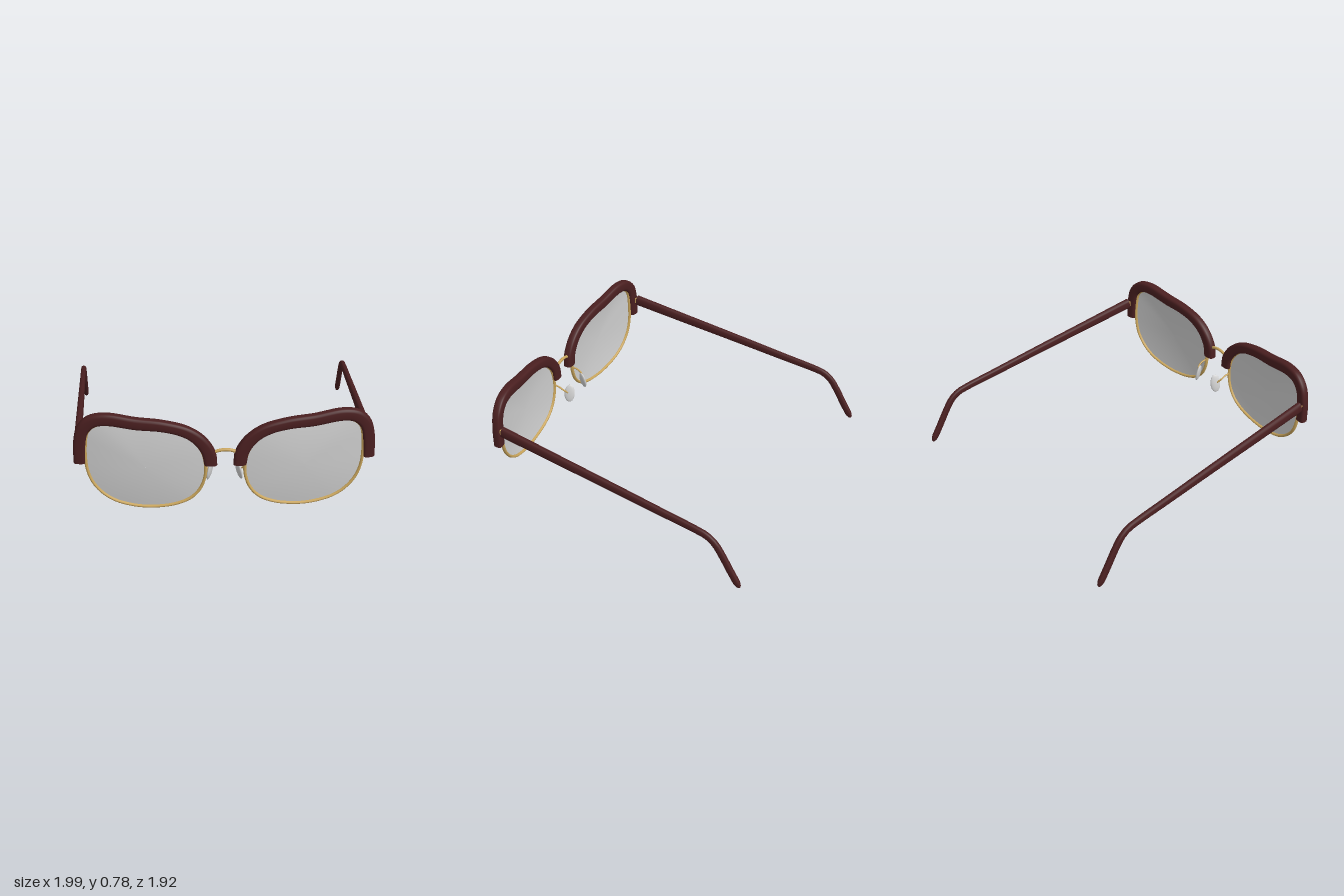
import * as THREE from 'three';

const V2 = (p) => new THREE.Vector3(p[0], p[1], 0);
const curve = (pts, closed = false) => new THREE.CatmullRomCurve3(pts.map(V2), closed, 'centripetal');

// The front wraps gently backwards towards the temples
const frontZ = (x) => 0.93 - 0.085 * x * x;

// Unit rounded cross-section; power 2 is an ellipse, higher is squarer
function section(n, power) {
  const e = 2 / power;
  return Array.from({ length: n }, (_, i) => {
    const a = (i / n) * Math.PI * 2, c = Math.cos(a), s = Math.sin(a);
    return [Math.sign(c) * Math.abs(c) ** e, Math.sign(s) * Math.abs(s) ** e];
  });
}

// Skin a list of rings; open lofts get flat end caps, windings face outward
function loft(rings, { loop = false, caps = !loop } = {}) {
  const n = rings[0].length, m = rings.length, pos = rings.flat(2), idx = [];
  for (let i = 0; i < (loop ? m : m - 1); i++) {
    for (let j = 0; j < n; j++) {
      const a = i * n + j, b = i * n + (j + 1) % n;
      const c = ((i + 1) % m) * n + j, d = ((i + 1) % m) * n + (j + 1) % n;
      idx.push(a, b, d, a, d, c);
    }
  }
  if (caps) {
    [rings[0], rings[m - 1]].forEach((ring, k) => {
      const base = pos.length / 3;
      pos.push(...ring.flat());
      for (let j = 1; j < n - 1; j++) {
        idx.push(base, base + (k ? j : j + 1), base + (k ? j + 1 : j));
      }
    });
  }
  const vert = (i) => new THREE.Vector3().fromArray(pos, i * 3);
  let volume = 0;
  for (let i = 0; i < idx.length; i += 3) {
    volume += vert(idx[i]).dot(vert(idx[i + 1]).cross(vert(idx[i + 2])));
  }
  if (volume < 0) idx.reverse();
  const g = new THREE.BufferGeometry();
  g.setAttribute('position', new THREE.Float32BufferAttribute(pos, 3));
  g.setIndex(idx);
  g.computeVertexNormals();
  return g;
}

export function createModel() {
  const material = (name, color, side = THREE.FrontSide) => {
    const m = new THREE.MeshStandardMaterial({ color, side });
    m.name = name;
    return m;
  };
  const maroon = material('maroon', 0x4a1f20);
  const gold = material('gold', 0xc9a55c);
  const glass = material('lens grey', 0xcdcdcd, THREE.DoubleSide);
  const padGrey = material('pad grey', 0xd2d2d2);

  const model = new THREE.Group();
  model.name = 'glasses';
  const add = (parent, name, geo, mat) => {
    const mesh = new THREE.Mesh(geo, mat);
    mesh.name = name;
    parent.add(mesh);
    return mesh;
  };

  const outline = curve([
    [0.122, 0.42], [0.132, 0.335], [0.165, 0.26], [0.225, 0.2], [0.32, 0.16], [0.42, 0.143],
    [0.5, 0.14], [0.6, 0.152], [0.7, 0.183], [0.78, 0.24], [0.835, 0.315], [0.862, 0.4],
    [0.868, 0.47], [0.866, 0.56], [0.848, 0.66], [0.8, 0.706], [0.73, 0.718], [0.55, 0.697],
    [0.4, 0.687], [0.29, 0.662], [0.205, 0.615], [0.145, 0.535],
  ], true);
  const browInner = curve([
    [0.132, 0.445], [0.15, 0.53], [0.21, 0.61], [0.29, 0.655], [0.4, 0.68], [0.55, 0.69],
    [0.73, 0.713], [0.8, 0.7], [0.845, 0.655], [0.865, 0.56], [0.872, 0.445],
  ]);
  const browOuter = curve([
    [0.05, 0.445], [0.06, 0.53], [0.12, 0.63], [0.22, 0.705], [0.38, 0.75], [0.55, 0.768],
    [0.73, 0.793], [0.84, 0.77], [0.91, 0.7], [0.94, 0.59], [0.945, 0.445],
  ]);
  // Temple centre line as z, y
  const templePath = curve([
    [0.817, 0.568], [0.4, 0.51], [0, 0.455], [-0.4, 0.398], [-0.64, 0.364], [-0.71, 0.347],
    [-0.765, 0.308], [-0.81, 0.245], [-0.88, 0.125], [-0.948, 0.012],
  ]);

  for (const s of [1, -1]) {
    const half = new THREE.Group();
    half.name = s > 0 ? 'leftHalf' : 'rightHalf';
    model.add(half);

    // Lens: concentric copies of the outline with a slight bulge
    const edge = outline.getSpacedPoints(96).slice(0, 96);
    const lensRings = [1, 0.88, 0.75, 0.6, 0.45, 0.3, 0.15, 0.001].map((r) => edge.map((p) => {
      const x = 0.495 + (p.x - 0.495) * r, y = 0.43 + (p.y - 0.43) * r;
      return [x * s, y, frontZ(x) + 0.02 * (1 - r * r)];
    }));
    add(half, 'lens', loft(lensRings, { caps: false }), glass);

    // Metal rim
    const rimShape = section(10, 2);
    const rimRings = edge.map((p, i) => {
      const t = edge[(i + 1) % 96].clone().sub(edge[(i + 95) % 96]).normalize();
      return rimShape.map(([u, w]) => {
        const x = p.x + t.y * u * 0.01, y = p.y - t.x * u * 0.01;
        return [x * s, y, frontZ(p.x) + w * 0.014];
      });
    });
    add(half, 'rim', loft(rimRings, { loop: true }), gold);

    // Thick brow bar between its inner and outer edges
    const browShape = section(20, 3.2), steps = 70;
    const browRings = Array.from({ length: steps + 1 }, (_, i) => {
      const a = browInner.getPoint(i / steps), b = browOuter.getPoint(i / steps);
      return browShape.map(([u, w]) => {
        const p = a.clone().lerp(b, (u + 1) / 2);
        return [p.x * s, p.y, frontZ(p.x) + w * 0.032];
      });
    });
    add(half, 'browBar', loft(browRings), maroon);

    // Temple: tapering arm, bent down at the ear, rounded tip
    const armShape = section(16, 2.6);
    const stops = [...Array.from({ length: 50 }, (_, i) => i / 50 * 0.97), 0.975, 0.985, 0.993, 0.998, 1];
    const armRings = stops.map((t) => {
      const p = templePath.getPointAt(t), d = templePath.getTangentAt(t);
      const tip = t < 0.97 ? 1 : Math.sqrt(Math.max(0.003, 1 - ((t - 0.97) / 0.03) ** 2));
      const k = Math.min(1, t / 0.8);
      const h = (0.039 - 0.015 * k) * tip, w = (0.024 - 0.006 * k) * tip;
      const x = 0.915 + 0.065 * (0.817 - p.x) / 1.765;
      return armShape.map(([u, v]) => [(x + u * w) * s, p.y + d.x * v * h, p.x - d.y * v * h]);
    });
    add(half, 'temple', loft(armRings), maroon);

    // Hinge between brow bar and temple
    add(half, 'hinge', new THREE.BoxGeometry(0.032, 0.035, 0.05), gold).position.set(0.915 * s, 0.567, 0.822);

    // Nose pad and its wire
    const pad = add(half, 'nosePad', new THREE.SphereGeometry(1, 24, 16), padGrey);
    pad.scale.set(0.013, 0.068, 0.037);
    pad.rotation.set(0, 0.42 * s, 0.2 * s, 'ZYX');
    pad.position.set(0.092 * s, 0.34, 0.822);
    const wire = new THREE.CatmullRomCurve3([
      [0.124, 0.4, 0.92], [0.124, 0.395, 0.885], [0.12, 0.375, 0.85], [0.098, 0.345, 0.825],
    ].map(([x, y, z]) => new THREE.Vector3(x * s, y, z)));
    add(half, 'padWire', new THREE.TubeGeometry(wire, 16, 0.006, 8), gold);
  }

  // Arched bridge
  const bridge = new THREE.CatmullRomCurve3([
    [-0.085, 0.515], [-0.055, 0.535], [0, 0.545], [0.055, 0.535], [0.085, 0.515],
  ].map(([x, y]) => new THREE.Vector3(x, y, 0.928)));
  add(model, 'bridge', new THREE.TubeGeometry(bridge, 24, 0.0105, 10), gold);

  return model;
}
